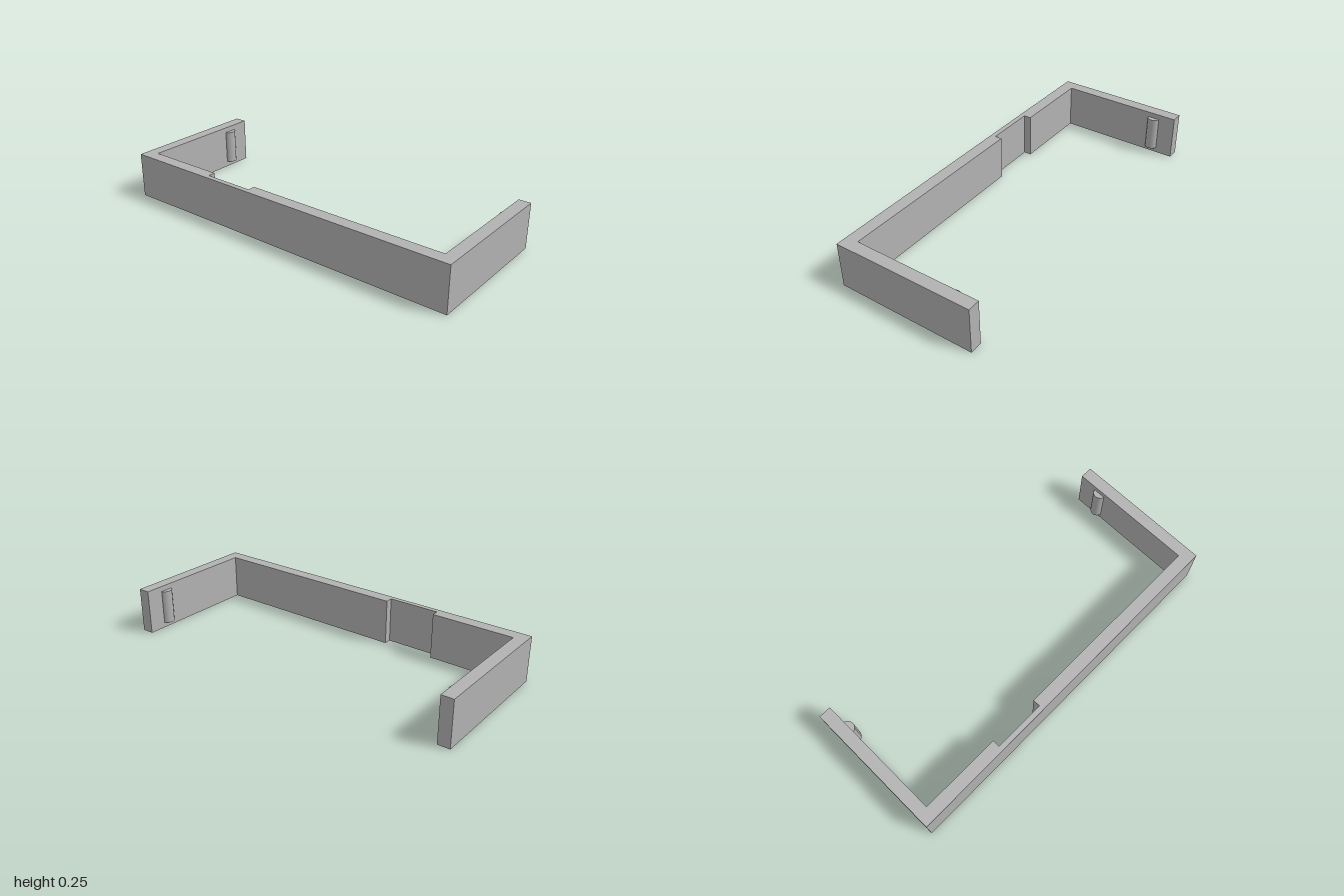
import * as THREE from 'three';

const HEIGHT = 0.252;

export function createModel() {
  const group = new THREE.Group();
  group.name = 'bracket';
  const grey = new THREE.MeshStandardMaterial({ color: 0xb2b2b2 });
  grey.name = 'grey';

  // U-shaped wall outline as [x, z], with a shallow notch inside the front wall
  const outer = 0.387, inner = 0.318, notch = 0.359, side = 0.933;
  const outline = [
    [-1, outer], [1, outer], [1, -outer], [side, -outer], [side, inner],
    [-0.193, inner], [-0.193, notch], [-0.48, notch], [-0.48, inner],
    [-side, inner], [-side, -outer], [-1, -outer],
  ];
  const shape = new THREE.Shape(outline.map(([x, z]) => new THREE.Vector2(x, -z)));
  const wallGeometry = new THREE.ExtrudeGeometry(shape, { depth: HEIGHT, bevelEnabled: false });
  wallGeometry.rotateX(-Math.PI / 2);
  const wall = new THREE.Mesh(wallGeometry, grey);
  wall.name = 'frameWall';
  group.add(wall);

  // Upright round pegs half sunk into the inside of each arm
  const pegGeometry = new THREE.CylinderGeometry(0.036, 0.036, 0.192, 32);
  for (const s of [1, -1]) {
    const peg = new THREE.Mesh(pegGeometry, grey);
    peg.name = s > 0 ? 'leftPeg' : 'rightPeg';
    peg.position.set(s * 0.94, HEIGHT / 2, -0.254);
    group.add(peg);
  }
  return group;
}
